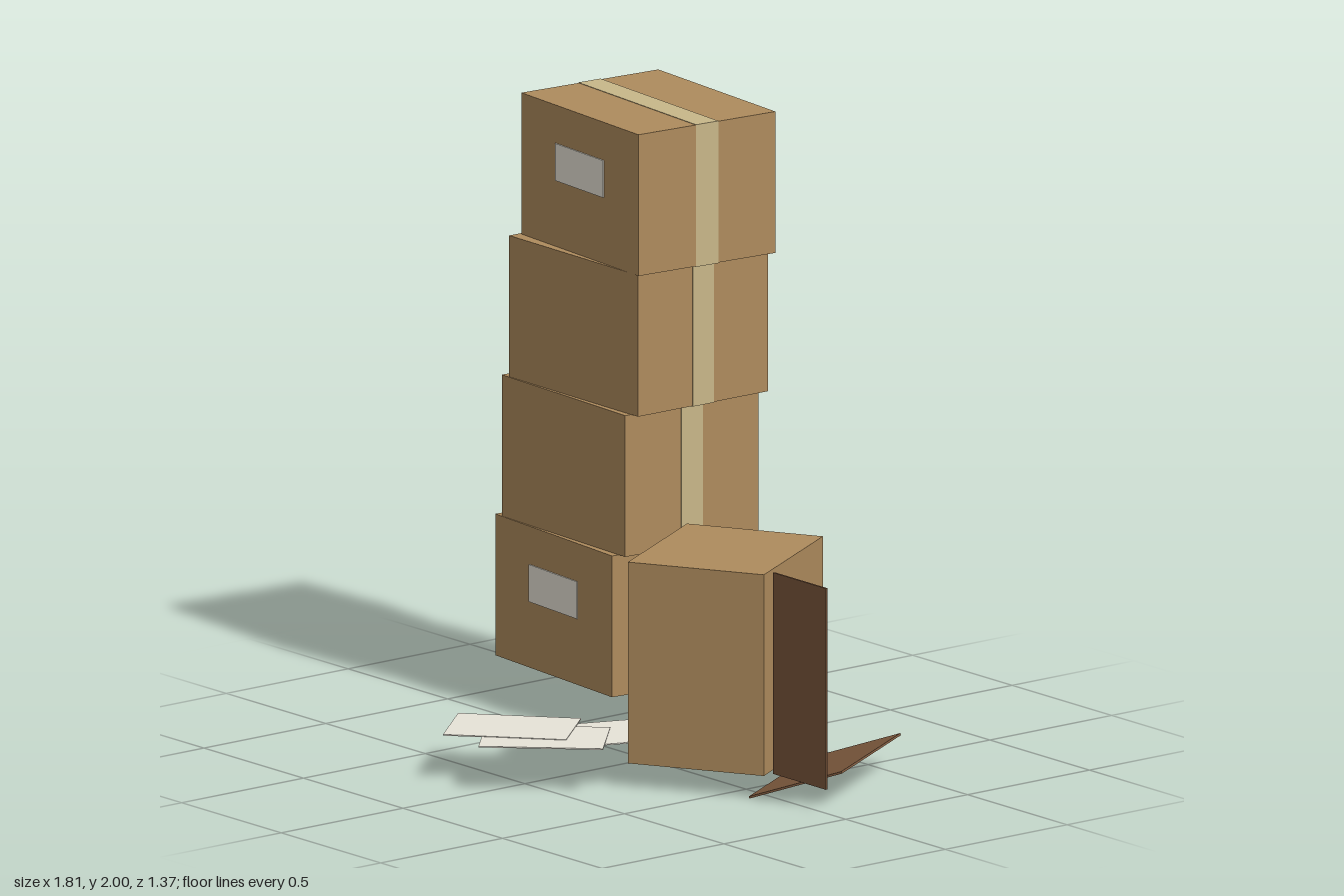
import * as THREE from 'three';

const material = (name, color) => {
  const m = new THREE.MeshStandardMaterial({ color });
  m.name = name;
  return m;
};

export function createModel() {
  const model = new THREE.Group();
  const cardboard = material('cardboard', 0xae8b5d);
  const innerCardboard = material('dark cardboard', 0x7c583d);
  const tapeColor = material('packing tape', 0xc8b789);
  const paper = material('paper', 0xe8e4d8);

  // A named block, placed and turned inside its parent
  function block(parent, name, mat, size, position, turn = 0, tilt = 0) {
    const mesh = new THREE.Mesh(new THREE.BoxGeometry(...size), mat);
    mesh.name = name;
    mesh.position.set(...position);
    mesh.rotation.set(0, turn, tilt);
    parent.add(mesh);
    return mesh;
  }

  // Stack of sealed boxes, each slightly shifted and turned
  const W = 0.657, H = 0.4635, D = 0.528, BASE = 0.145;
  const stack = [
    { x: -0.555, z: -0.353, turn: -0.085, label: true },
    { x: -0.53, z: -0.365, turn: -0.045 },
    { x: -0.502, z: -0.377, turn: -0.012 },
    { x: -0.475, z: -0.395, turn: -0.083, label: true },
  ];
  stack.forEach(({ x, z, turn, label }, i) => {
    const box = new THREE.Group();
    box.name = `stackedBox${i + 1}`;
    box.position.set(x, BASE + H * (i + 0.5), z);
    box.rotation.y = turn;
    block(box, 'carton', cardboard, [W, H, D], [0, 0, 0]);
    // Tape band runs round the top, bottom and both ends
    block(box, 'tapeBand', tapeColor, [W + 0.004, H + 0.003, 0.086], [0, 0, 0]);
    if (label) block(box, 'label', paper, [0.27, 0.122, 0.006], [0, 0.046, D / 2 + 0.001]);
    model.add(box);
  });

  // Box lying on its side, with two loose flaps
  const fallen = new THREE.Group();
  fallen.name = 'fallenBox';
  block(fallen, 'carton', cardboard, [0.462, 0.66, 0.53], [0.31, 0.41, -0.07], Math.PI / 6);
  block(fallen, 'sideFlap', innerCardboard, [0.265, 0.66, 0.007], [0.772, 0.41, 0]);
  block(fallen, 'bottomFlap', innerCardboard, [0.333, 0.007, 0.53], [0.6025, 0.06, -0.239], Math.PI / 6, 0.337);
  model.add(fallen);

  // Spilled paper sheets
  const sheets = [
    [0.138, 0.162, 1.196],
    [0.025, 0.44, 0.803],
    [-0.1375, 0.44, 0.714],
  ];
  sheets.forEach(([x, z, turn], i) =>
    block(model, `paperSheet${i + 1}`, paper, [0.397, 0.004, 0.28], [x, 0.147 + i * 0.002, z], turn));

  return model;
}
